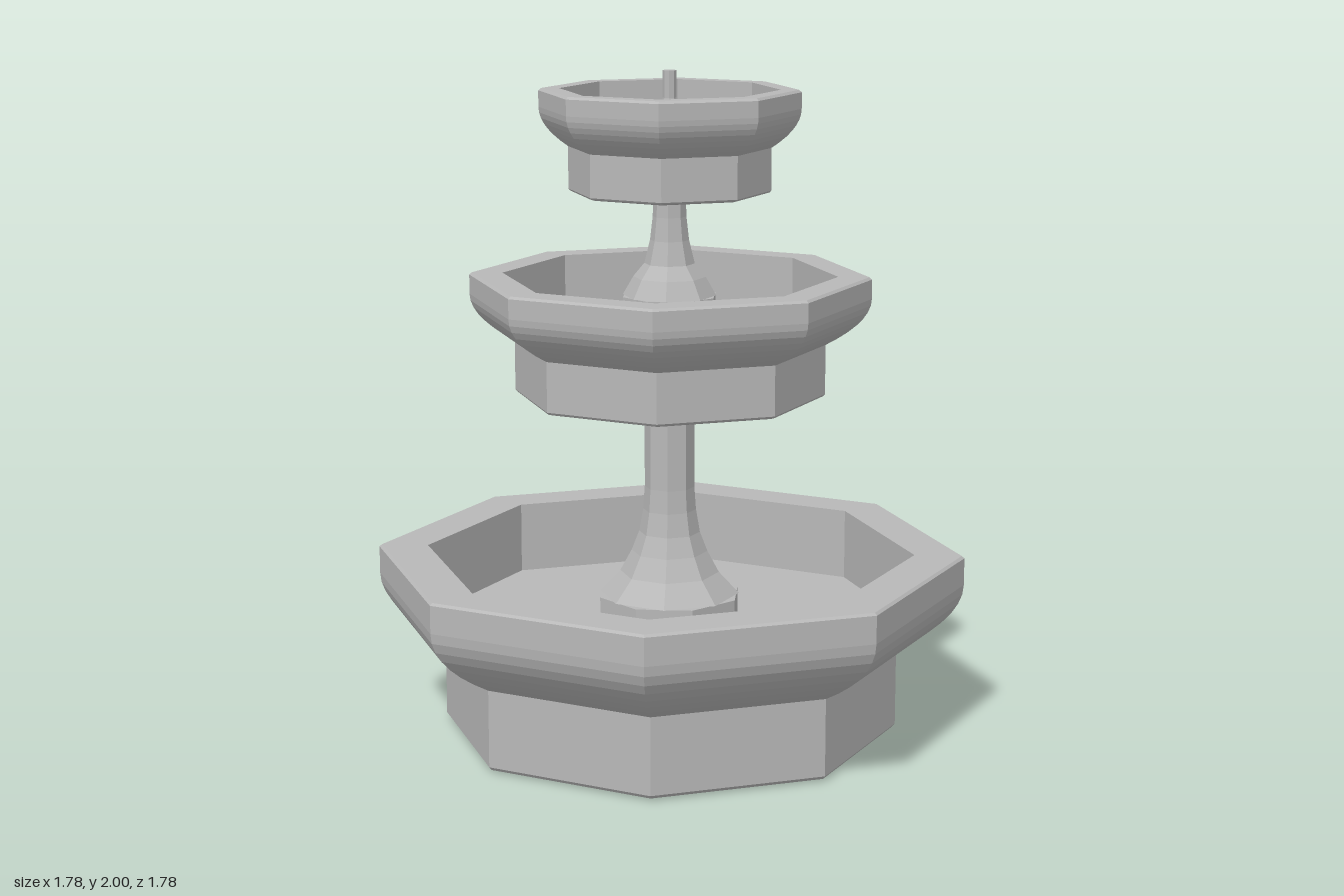
import * as THREE from 'three';

const stone = new THREE.MeshStandardMaterial({ color: 0xb8b8b8 });
stone.name = 'grey stone';

// Eight-sided turned solid with flat faces
function turned(name, points, twist = 0) {
  const profile = points.map(([r, y]) => new THREE.Vector2(r, y));
  const geometry = new THREE.LatheGeometry(profile, 8, twist).toNonIndexed();
  geometry.computeVertexNormals();
  const mesh = new THREE.Mesh(geometry, stone);
  mesh.name = name;
  return mesh;
}

// Basin: straight foot, curved outer wall, flat rim and a sunken floor
function basin(name, { foot, outer, inner, bottom, neck, shoulder, top, floor }) {
  const b = (top - bottom) * 0.03;
  const curve = new THREE.QuadraticBezierCurve(
    new THREE.Vector2(foot, neck),
    new THREE.Vector2(outer, (neck + shoulder) / 2),
    new THREE.Vector2(outer, shoulder));
  const wall = curve.getPoints(7).map((p) => [p.x, p.y]);
  return turned(name, [
    [0, bottom], [foot - 2 * b, bottom], [foot - b * 0.5, bottom + b * 0.4], [foot, bottom + b],
    ...wall,
    [outer, top - 0.007], [outer - 0.008, top], [inner, top], [inner, floor], [0, floor],
  ]);
}

// Pedestal: octagonal plinth with a flared shaft above it
function pedestal(name, plinthRadius, floor, plinthTop, shaft) {
  const group = new THREE.Group();
  group.name = name;
  group.add(
    turned('plinth', [[plinthRadius, floor], [plinthRadius, plinthTop], [0, plinthTop]], Math.PI / 8),
    turned('shaft', [[plinthRadius * 0.96, plinthTop], ...shaft]));
  return group;
}

export function createModel() {
  const fountain = new THREE.Group();
  fountain.name = 'tieredFountain';

  fountain.add(
    basin('lowerBasin', { foot: 0.69, outer: 0.89, inner: 0.74, bottom: 0, neck: 0.25, shoulder: 0.46, top: 0.55, floor: 0.33 }),
    basin('middleBasin', { foot: 0.465, outer: 0.6, inner: 0.5, bottom: 1.03, neck: 1.19, shoulder: 1.33, top: 1.395, floor: 1.235 }),
    basin('upperBasin', { foot: 0.3, outer: 0.387, inner: 0.325, bottom: 1.64, neck: 1.775, shoulder: 1.89, top: 1.945, floor: 1.82 }));

  fountain.add(
    pedestal('lowerPedestal', 0.22, 0.33, 0.42,
      [[0.15, 0.485], [0.115, 0.55], [0.092, 0.61], [0.08, 0.68], [0.075, 0.75], [0.075, 1.04]]),
    pedestal('middlePedestal', 0.145, 1.235, 1.335,
      [[0.108, 1.39], [0.075, 1.43], [0.058, 1.5], [0.05, 1.57], [0.048, 1.65]]),
    pedestal('spout', 0.06, 1.82, 1.85,
      [[0.04, 1.868], [0.026, 1.89], [0.02, 1.92], [0.02, 2], [0, 2]]));

  return fountain;
}
